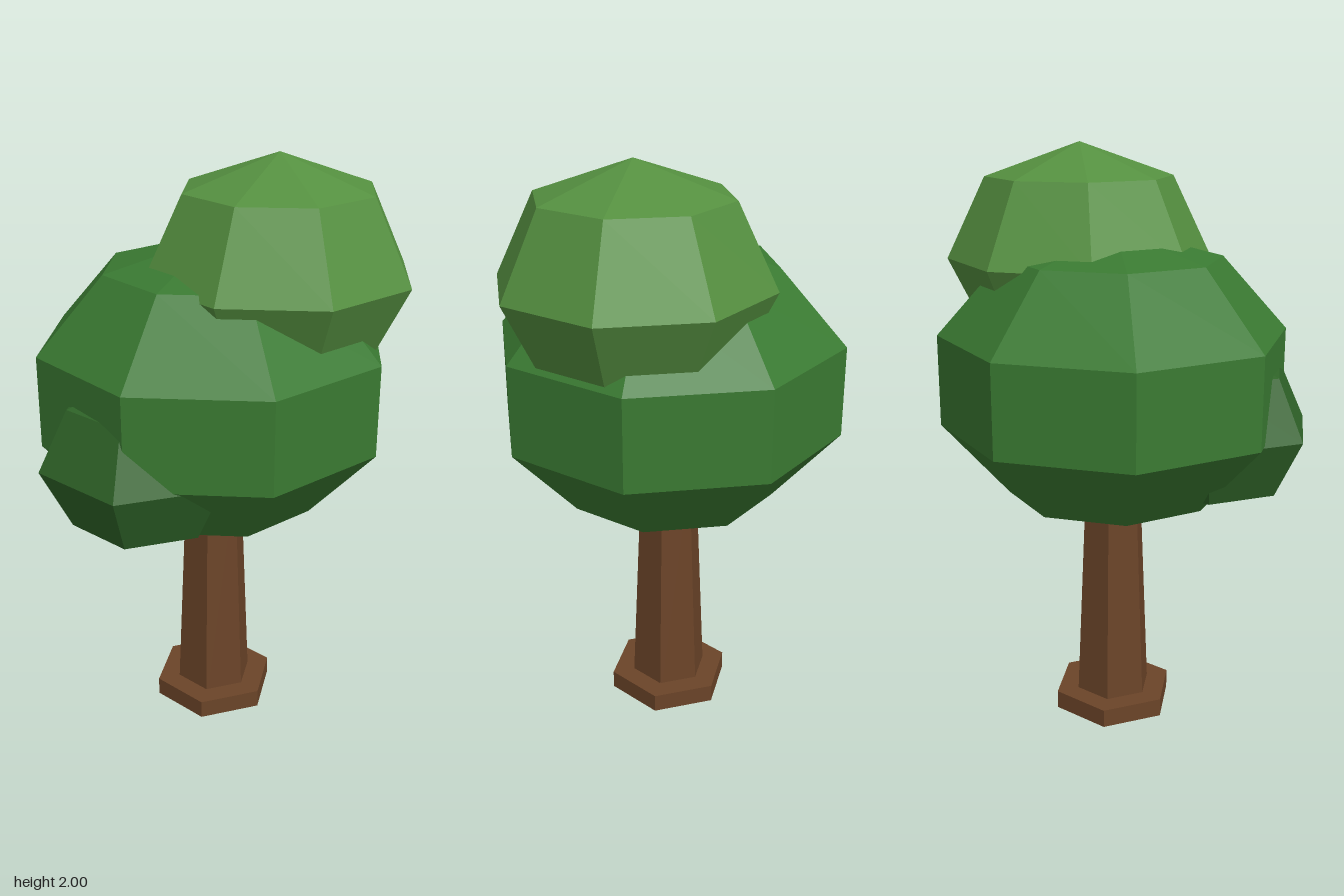
import * as THREE from 'three';

const material = (color) => new THREE.MeshStandardMaterial({ color, flatShading: true });

function addPart(group, name, geometry, mat, position) {
  const mesh = new THREE.Mesh(geometry, mat);
  mesh.name = name;
  mesh.position.set(...position);
  group.add(mesh);
}

// Hexagonal column with corners on the x axis, standing on its base
function hexColumn(topRadius, bottomRadius, height) {
  return new THREE.CylinderGeometry(topRadius, bottomRadius, height, 6)
    .rotateY(Math.PI / 6)
    .translate(0, height / 2, 0);
}

// Faceted leaf clump: a coarse sphere, squashed vertically
function clump(radius, halfHeight, sides, rows) {
  return new THREE.SphereGeometry(1, sides, rows).scale(radius, halfHeight, radius);
}

export function createModel() {
  const tree = new THREE.Group();
  tree.name = 'tree';

  // Trunk and root collar
  const bark = material(0x6b4428);
  addPart(tree, 'rootCollar', hexColumn(0.217, 0.217, 0.065), bark, [-0.01, 0, 0]);
  addPart(tree, 'trunk', hexColumn(0.1, 0.139, 0.9), bark, [-0.01, 0, 0]);

  // Foliage: wide main crown, lighter top, darker side clump
  addPart(tree, 'mainCrown', clump(0.622, 0.5, 8, 5), material(0x3a7a32), [-0.014, 1.232, 0]);
  addPart(tree, 'topCrown', clump(0.455, 0.385, 8, 4), material(0x559040), [0.187, 1.615, 0.063]);
  addPart(tree, 'sideCrown', clump(0.34, 0.285, 6, 4), material(0x2f6428), [-0.31, 1.07, 0.185]);

  return tree;
}
